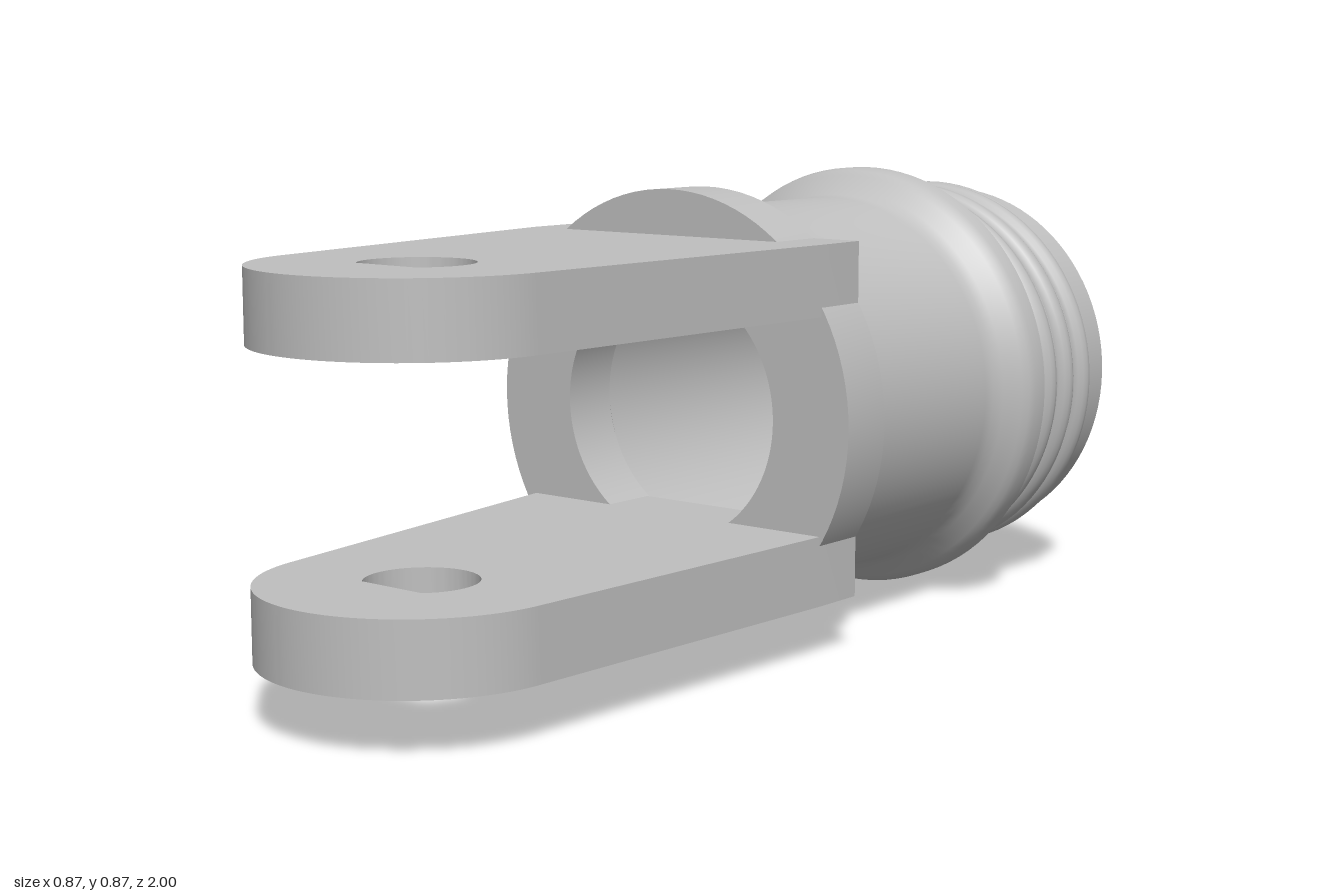
import * as THREE from 'three';
import { toCreasedNormals } from 'three/addons/utils/BufferGeometryUtils.js';

const AXIS_Y = 0.44;

// Tube profile as [radius, depth behind the front face], outside first, then the bore
function bodyGeometry() {
  const profile = [
    [0.25, 0], [0.42, 0], [0.42, 0.115], [0.38, 0.16], [0.38, 0.53],
    [0.384, 0.55], [0.395, 0.57], [0.422, 0.598], [0.432, 0.61], [0.437, 0.625],
    [0.437, 0.66], [0.378, 0.66], [0.378, 1],
    [0.32, 1], [0.32, 0.2], [0.25, 0.12], [0.25, 0],
  ].map(([r, d]) => new THREE.Vector2(r, d));
  const geo = new THREE.LatheGeometry(profile, 96);
  geo.rotateX(-Math.PI / 2);
  return toCreasedNormals(geo, 0.5);
}

// Helical ridge whose ends sink into the tube wall
class Helix extends THREE.Curve {
  getPoint(t, target = new THREE.Vector3()) {
    const turns = -0.15 + 4.3 * t;
    const a = turns * Math.PI * 2;
    const fade = Math.min(1, t / 0.04, (1 - t) / 0.04);
    const r = 0.335 + 0.035 * fade;
    return target.set(r * Math.sin(a), r * Math.cos(a), -0.685 - 0.068 * turns);
  }
}

// Tapered lug with a round tip and a teardrop pin hole
function armGeometry(thickness) {
  const cx = 0.05, cz = 0.72, R = 0.28, r = 0.1;
  const shape = new THREE.Shape();
  shape.moveTo(-0.342, -0.115);
  shape.lineTo(0.358, -0.115);
  shape.lineTo(0.358, 0);
  shape.lineTo(cx + R, cz);
  shape.absarc(cx, cz, R, 0, Math.PI - 0.15, false);
  shape.lineTo(-0.342, 0);
  shape.closePath();

  const hole = new THREE.Path();
  hole.moveTo(cx, cz - 0.005 + r * Math.SQRT2);
  hole.absarc(cx, cz - 0.005, r, Math.PI * 0.75, Math.PI * 2.25, false);
  hole.closePath();
  shape.holes.push(hole);

  const geo = new THREE.ExtrudeGeometry(shape, { depth: thickness, bevelEnabled: false, curveSegments: 40 });
  geo.rotateX(Math.PI / 2);
  return toCreasedNormals(geo, 0.4);
}

export function createModel() {
  const grey = new THREE.MeshStandardMaterial({ color: 0xbfbfbf });
  grey.name = 'plain grey';
  const model = new THREE.Group();
  model.name = 'threadedClevis';

  const add = (name, geo, y) => {
    const mesh = new THREE.Mesh(geo, grey);
    mesh.name = name;
    mesh.position.y = y;
    model.add(mesh);
  };

  add('tubeBody', bodyGeometry(), AXIS_Y);
  add('screwThread', new THREE.TubeGeometry(new Helix(), 400, 0.027, 14), AXIS_Y);

  // Pair of arms above and below the bore
  const arm = armGeometry(0.131);
  add('upperArm', arm, 0.773);
  add('lowerArm', arm, 0.238);

  return model;
}
